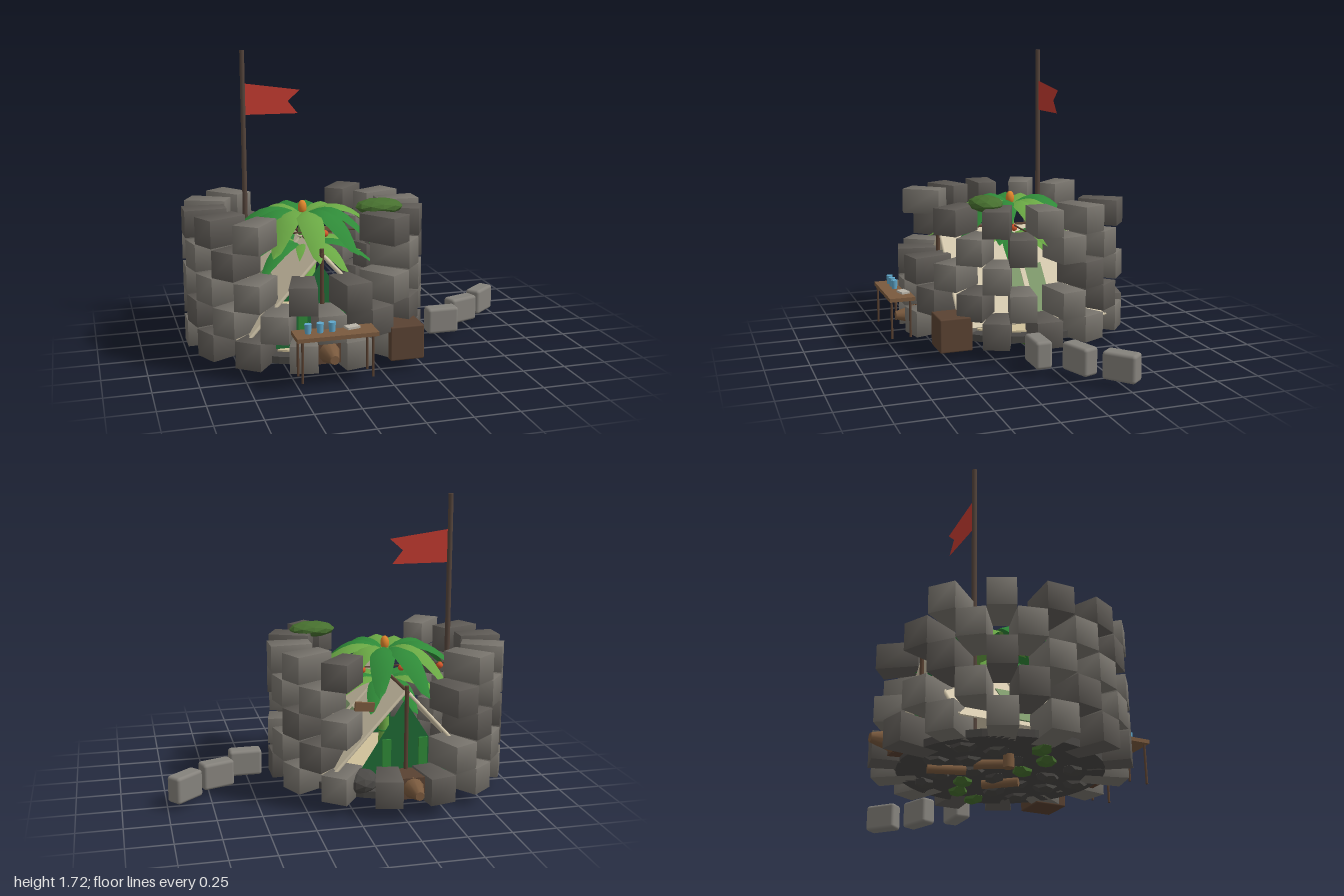
import * as THREE from 'three';
import { RoundedBoxGeometry } from 'three/addons/geometries/RoundedBoxGeometry.js';

const CX = -0.31, CZ = -0.04; // centre of the round wall
const mat = (color, side = THREE.FrontSide, flatShading = false) =>
  new THREE.MeshStandardMaterial({ color, side, flatShading });
const STONE = mat(0x77736c), DARK = mat(0x5f5b56), BASE = mat(0x4a4845, THREE.FrontSide, true);
const WOOD = mat(0x5a4232), PLANK = mat(0x7a5a3e), POLE = mat(0x54443b);
const CANVAS = mat(0xd8ccb0, THREE.DoubleSide), SAGE = mat(0x7f9a6c, THREE.DoubleSide);
const DEEP = mat(0x1f6b35, THREE.DoubleSide), LEAF1 = mat(0x2f8a38, THREE.DoubleSide);
const LEAF2 = mat(0x6aa844, THREE.DoubleSide), MOSS = mat(0x47702f, THREE.FrontSide, true);
const RED = mat(0xc23a30, THREE.DoubleSide), ORANGE = mat(0xe0862c), LAMP = mat(0xd8582c), BLUE = mat(0x5fa8cc);

function add(parent, name, geo, material, x = 0, y = 0, z = 0, rx = 0, ry = 0, rz = 0) {
  const m = new THREE.Mesh(geo, material);
  m.name = name;
  m.position.set(x, y, z);
  m.rotation.set(rx, ry, rz);
  parent.add(m);
  return m;
}
const group = (parent, name, x = 0, y = 0, z = 0) => {
  const g = new THREE.Group();
  g.name = name;
  g.position.set(x, y, z);
  parent.add(g);
  return g;
};
const box = (w, h, d) => new THREE.BoxGeometry(w, h, d);
const cyl = (r1, r2, h, n = 12) => new THREE.CylinderGeometry(r1, r2, h, n);

// cylinder stretched between two points
function rod(parent, name, a, b, r, material) {
  const p = new THREE.Vector3(...a), d = new THREE.Vector3(...b).sub(p);
  const m = add(parent, name, cyl(r, r, d.length(), 8), material);
  m.position.copy(p).addScaledVector(d, 0.5);
  m.quaternion.setFromUnitVectors(new THREE.Vector3(0, 1, 0), d.normalize());
  return m;
}

// wall stone: wedge, wider on its outer end (+x), with softly bent normals
function stoneGeometry() {
  const g = box(0.24, 0.152, 0.15).toNonIndexed();
  const geo = box(0.24, 0.152, 0.15, 2, 2, 2);
  const p = geo.attributes.position, n = geo.attributes.normal, v = new THREE.Vector3();
  g.dispose();
  for (let i = 0; i < p.count; i++) {
    v.set(p.getX(i) / 0.12, p.getY(i) / 0.076, p.getZ(i) / 0.075).multiplyScalar(0.6);
    v.add(new THREE.Vector3().fromBufferAttribute(n, i)).normalize();
    n.setXYZ(i, v.x, v.y, v.z);
    p.setZ(i, p.getZ(i) * (p.getX(i) > 0 ? 1.02 : 0.82));
  }
  return geo;
}

// folded, arching leaf from cross-sections along +x
function leafGeometry(len, width, rise, drop) {
  const pos = [], idx = [], N = 10;
  for (let i = 0; i <= N; i++) {
    const t = i / N, w = width * 0.5 * Math.pow(Math.sin(Math.PI * (0.06 + 0.94 * t)), 0.8) + 0.002;
    const x = len * t, y = rise * Math.sin(Math.PI * Math.min(1, t * 1.1)) - drop * t * t;
    for (const s of [-1, 0, 1]) pos.push(x, y - Math.abs(s) * w * 0.4, s * w);
    if (i < N) for (const k of [0, 1]) {
      const a = i * 3 + k;
      idx.push(a, a + 1, a + 3, a + 1, a + 4, a + 3);
    }
  }
  const g = new THREE.BufferGeometry();
  g.setAttribute('position', new THREE.Float32BufferAttribute(pos, 3));
  g.setIndex(idx);
  g.computeVertexNormals();
  return g;
}

function flatShape(points) {
  return new THREE.ShapeGeometry(new THREE.Shape(points.map(([x, y]) => new THREE.Vector2(x, y))));
}

function buildWall(root) {
  const wall = group(root, 'stoneWall', CX, 0, CZ), geo = stoneGeometry();
  // missing stones per row, as 28ths of a turn from +x (7 = front, 21 = back)
  const gaps = [[], [21, 23], [0, 20, 22], [5, 7, 9, 21, 23], [6, 8, 20, 22]];
  gaps.forEach((missing, row) => {
    for (let k = row % 2; k < 28; k += 2) {
      if (missing.includes(k)) continue;
      const a = (k / 28) * Math.PI * 2;
      add(wall, 'wallStone', geo, (k * 3 + row) % 5 < 2 ? DARK : STONE,
        0.57 * Math.cos(a), 0.146 + row * 0.159, 0.57 * Math.sin(a), 0, -a);
    }
  });
  // loose stones beside the wall
  [[0.515, 0.085, 0], [0.705, -0.08, 0.33], [0.897, -0.237, 0.7]].forEach(([x, z, r]) =>
    add(root, 'looseStone', new RoundedBoxGeometry(0.192, 0.155, 0.095, 3, 0.018), mat(0x85827c), x, 0.113, z, 0, r));
}

function buildBase(root) {
  const base = group(root, 'base', CX, 0, CZ);
  add(base, 'baseDisc', cyl(0.55, 0.55, 0.04, 40), BASE, 0, 0.09);
  add(base, 'sandFloor', cyl(0.47, 0.47, 0.01, 40), mat(0xcfc09a), 0, 0.115);
  // flattened rocks and moss underneath
  for (let i = 0; i < 22; i++) {
    const a = i * 2.4, r = 0.47 * Math.sqrt((i + 0.5) / 22);
    add(base, 'baseRock', new THREE.DodecahedronGeometry(0.07), i % 4 === 1 ? MOSS : BASE,
      r * Math.cos(a), 0.068, r * Math.sin(a), 0, a).scale.set(1, 0.45, 0.8);
  }
  for (const [x, z, r] of [[-0.16, -0.12, 0.5], [0.1, 0.05, 0.7], [0.02, -0.3, 0.3]])
    add(base, 'baseLog', cyl(0.025, 0.025, 0.2), PLANK, x, 0.05, z, Math.PI / 2, 0, r);
  add(base, 'basePeg', cyl(0.03, 0.03, 0.08, 8), PLANK, -0.27, 0.04, -0.09);
  // tapered log ends under the wall, front and back
  for (const s of [-1, 1]) {
    add(base, 'logEnd', cyl(0.025, 0.062, 0.13, 10), PLANK, 0, 0.15, s * 0.665, s * Math.PI / 2);
    add(base, 'logBody', box(0.13, 0.12, 0.16), WOOD, 0, 0.15, s * 0.53);
  }
}

function buildTent(root) {
  const tent = group(root, 'tent', CX, 0, CZ);
  const top = 0.66, low = 0.16, half = 0.45, ang = Math.atan2(top - low, half), len = Math.hypot(half, top - low);
  for (const s of [-1, 1]) {
    const side = group(tent, 'tentSide', s * half / 2, (top + low) / 2, 0);
    side.rotation.z = -s * ang;
    add(side, 'canvas', box(len, 0.008, 0.9), CANVAS);
    add(side, 'windowPatch', box(0.34, 0.008, 0.25), SAGE, s * 0.12, 0.006);
    add(side, 'seam', box(len, 0.012, 0.03), CANVAS, 0, 0.01);
    // gable cloth, poles and edge ribs at each end
    const z = s * 0.42;
    add(tent, 'gable', flatShape([[-0.3, 0.13], [0.3, 0.13], [0, 0.6]]), DEEP, 0, 0, z);
    rod(tent, 'tentPole', [0, 0.1, s * 0.46], [0, top + 0.03, s * 0.46], 0.012, WOOD);
    for (const e of [-1, 1]) {
      rod(tent, 'tentRib', [0, top, s * 0.45], [e * half, low, s * 0.45], 0.01, CANVAS);
      add(tent, 'doorFlap', box(0.05, 0.24, 0.012), LEAF1, e * 0.105, 0.26, s * 0.435);
    }
  }
  rod(tent, 'ridgePole', [0, top, -0.48], [0, top, 0.48], 0.01, WOOD);
  // lantern string
  rod(tent, 'lanternString', [-0.45, 0.68, 0.02], [0.45, 0.68, 0.02], 0.005, WOOD);
  for (const x of [-0.35, -0.11, 0.13])
    add(tent, 'lantern', new THREE.SphereGeometry(0.021, 14, 10), LAMP, x, 0.665, 0.02);
  add(tent, 'signBoard', box(0.11, 0.05, 0.02), PLANK, 0.23, 0.575, -0.42, 0, 0, 0.1);
}

function buildPalm(root) {
  const palm = group(root, 'palm', CX, 0, CZ);
  add(palm, 'trunk', cyl(0.024, 0.034, 0.7, 14), LEAF2, 0, 0.45);
  for (let i = 0; i < 7; i++)
    add(palm, 'trunkRing', new THREE.TorusGeometry(0.029, 0.006, 6, 16), i > 4 ? CANVAS : LEAF1, 0, 0.2 + i * 0.092, 0, Math.PI / 2);
  const bud = new THREE.SphereGeometry(0.026, 14, 10);
  add(palm, 'bud', bud, ORANGE, 0, 0.828).scale.y = 1.6;
  const crown = (n, y, len, width, rise, drop, turn) => {
    for (let i = 0; i < n; i++) {
      const l = len * (1 + 0.1 * Math.cos(i * 2.3));
      add(palm, 'leaf', leafGeometry(l, width, rise, drop), (i * 5 + (n % 3)) % 7 < 3 ? LEAF2 : LEAF1,
        0, y, 0, 0, turn + (i / n) * Math.PI * 2);
    }
  };
  crown(11, 0.78, 0.47, 0.14, 0.08, 0.16, 0.1);
  crown(9, 0.6, 0.4, 0.11, 0.06, 0.1, 0.4);
  // tuft on the wall and a second one at the back
  add(root, 'wallBush', new THREE.IcosahedronGeometry(0.14, 1), MOSS, 0.07, 0.868, 0.24).scale.set(1, 0.33, 0.7);
  add(root, 'backBush', new THREE.IcosahedronGeometry(0.1, 1), BASE, -0.06, 0.15, -0.47).scale.y = 0.7;
}

function buildFlag(root) {
  const flag = group(root, 'flag', -0.595, 0, -0.33);
  add(flag, 'flagPole', cyl(0.014, 0.016, 1.62), POLE, 0, 0.91);
  add(flag, 'pennant', flatShape([[0.01, 1.34], [0.33, 1.34], [0.27, 1.415], [0.345, 1.48], [0.01, 1.525]]), RED);
}

function buildFurniture(root) {
  const table = group(root, 'table', -0.31, 0, 0.695);
  add(table, 'tableTop', box(0.44, 0.022, 0.15), PLANK, 0, 0.302, 0);
  for (const x of [-0.19, 0.19]) for (const z of [-0.05, 0.06])
    add(table, 'tableLeg', cyl(0.007, 0.007, 0.23, 8), WOOD, x, 0.182, z);
  for (const x of [-0.145, -0.08, -0.015])
    add(table, 'cup', cyl(0.02, 0.016, 0.052, 14), BLUE, x, 0.339, -0.005);
  add(table, 'paper', box(0.075, 0.012, 0.05), mat(0xb9b4a8), 0.1, 0.319, -0.03, 0, 0.25);
  add(root, 'crate', new RoundedBoxGeometry(0.195, 0.195, 0.19, 2, 0.008), WOOD, 0.138, 0.158, 0.467);
}

export function createModel() {
  const root = new THREE.Group();
  root.name = 'ruinCamp';
  [buildBase, buildWall, buildTent, buildPalm, buildFlag, buildFurniture].forEach((build) => build(root));
  return root;
}
